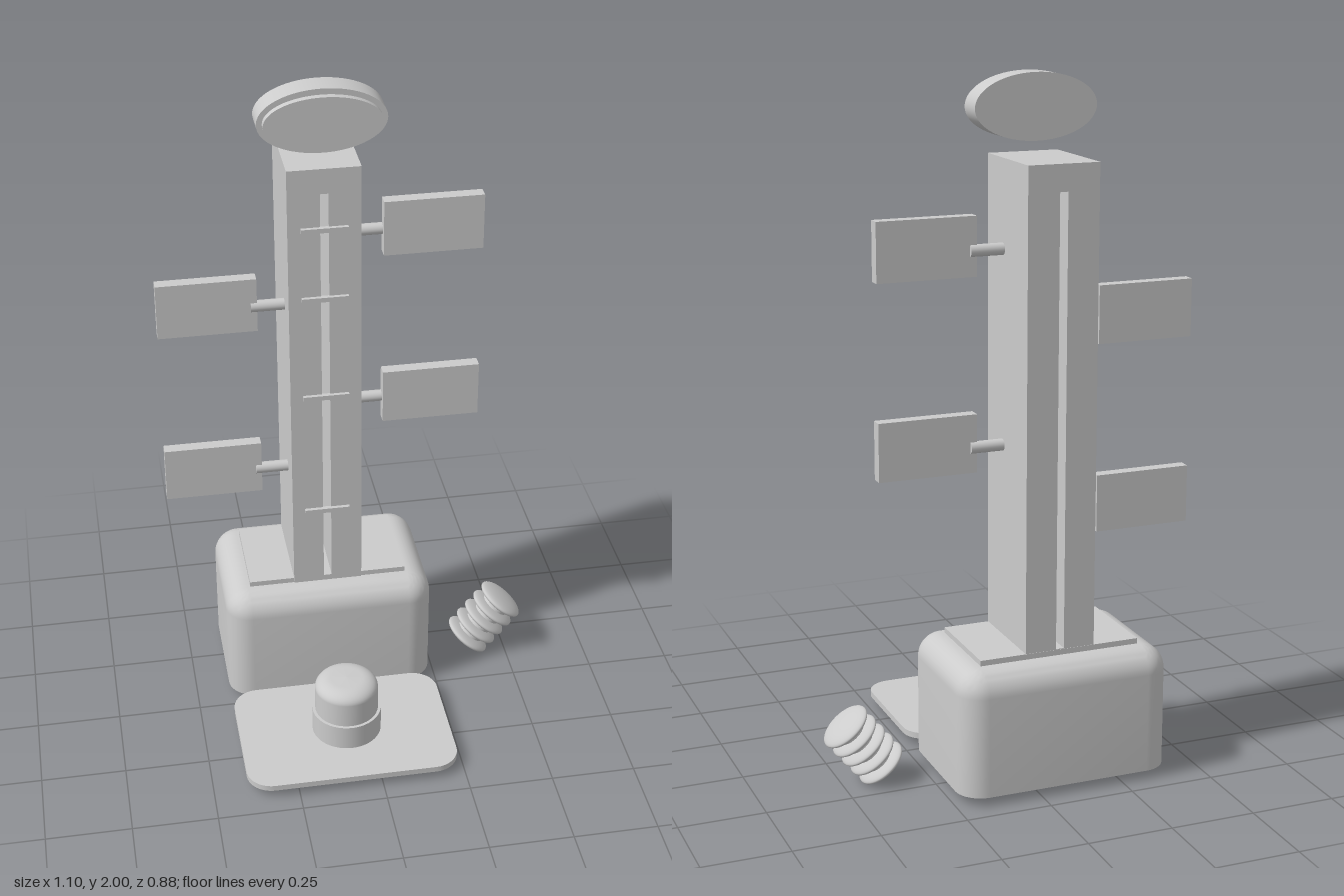
import * as THREE from 'three';
import { toCreasedNormals } from 'three/addons/utils/BufferGeometryUtils.js';

const material = new THREE.MeshStandardMaterial({ color: 0xcccccc });

function add(parent, name, geometry, x = 0, y = 0, z = 0) {
  const mesh = new THREE.Mesh(geometry, material);
  mesh.name = name;
  mesh.position.set(x, y, z);
  parent.add(mesh);
  return mesh;
}

// Box given by its limits on each axis
function box(parent, name, [x0, x1], [y0, y1], [z0, z1]) {
  return add(parent, name, new THREE.BoxGeometry(x1 - x0, y1 - y0, z1 - z0),
    (x0 + x1) / 2, (y0 + y1) / 2, (z0 + z1) / 2);
}

// Counter-clockwise outline of a rounded rectangle centred on the origin
function roundedOutline(w, d, r, steps = 10) {
  const points = [];
  [[1, 1], [-1, 1], [-1, -1], [1, -1]].forEach(([sx, sy], k) => {
    for (let i = 0; i <= steps; i++) {
      const a = (k + i / steps) * Math.PI / 2;
      points.push(new THREE.Vector2(
        sx * (w / 2 - r) + r * Math.cos(a), sy * (d / 2 - r) + r * Math.sin(a)));
    }
  });
  return points;
}

// Block with rounded upright edges and a rounded top edge, flat underneath
function roundedBlock(w, h, d, corner, round) {
  const sections = [[0, 0]];
  for (let i = 0; i <= 10; i++) {
    const a = i / 10 * Math.PI / 2;
    sections.push([round * (1 - Math.cos(a)), h - round + round * Math.sin(a)]);
  }
  const positions = [], index = [];
  let n = 0;
  for (const [inset, y] of sections) {
    const ring = roundedOutline(w - 2 * inset, d - 2 * inset, corner - inset);
    n = ring.length;
    for (const p of ring) positions.push(p.x, y, -p.y);
  }
  const last = sections.length - 1, bottom = n * sections.length, top = bottom + 1;
  positions.push(0, 0, 0, 0, h, 0);
  for (let i = 0; i < n; i++) {
    const k = (i + 1) % n;
    for (let j = 0; j < last; j++) {
      const a = j * n + i, b = j * n + k;
      index.push(a, b, b + n, a, b + n, a + n);
    }
    index.push(bottom, k, i, top, last * n + i, last * n + k);
  }
  const geometry = new THREE.BufferGeometry();
  geometry.setAttribute('position', new THREE.Float32BufferAttribute(positions, 3));
  geometry.setIndex(index);
  return toCreasedNormals(geometry, 0.6);
}

// Elliptical disc facing +z
function ellipseDisc(rx, ry, depth) {
  const geometry = new THREE.CylinderGeometry(1, 1, depth, 64);
  geometry.rotateX(Math.PI / 2);
  geometry.scale(rx, ry, 1);
  return geometry;
}

export function createModel() {
  const model = new THREE.Group();
  model.name = 'signTower';
  const cx = -0.082;

  // Base block with the front mat and the mounting plate
  add(model, 'base', roundedBlock(0.635, 0.362, 0.438, 0.076, 0.07), cx, 0.03, -0.222);
  const mat = new THREE.ExtrudeGeometry(new THREE.Shape(roundedOutline(0.635, 0.442, 0.076)),
    { depth: 0.018, bevelEnabled: false });
  mat.rotateX(-Math.PI / 2);
  add(model, 'frontMat', toCreasedNormals(mat, 0.6), cx, 0.03, 0.219);
  box(model, 'mountingPlate', [-0.322, 0.158], [0.385, 0.408], [-0.365, -0.08]);

  // Tower with a slot right through it
  const outline = new THREE.Shape();
  outline.moveTo(-0.104, 0.39).lineTo(0.104, 0.39).lineTo(0.104, 1.775)
    .lineTo(-0.104, 1.775).closePath();
  const slot = new THREE.Path();
  slot.moveTo(-0.012, 0.41).lineTo(-0.012, 1.7).lineTo(0.012, 1.7)
    .lineTo(0.012, 0.41).closePath();
  outline.holes.push(slot);
  add(model, 'tower', new THREE.ExtrudeGeometry(outline, { depth: 0.287, bevelEnabled: false }),
    cx, 0, -0.364);

  // Cross bars over the slot
  for (const y of [0.656, 1.053, 1.376, 1.593])
    box(model, 'crossBar', [cx - 0.067, cx + 0.067], [y - 0.007, y + 0.007], [-0.08, -0.066]);

  // Side signs, each on a short post
  const sides = [
    { sign: [0.1, 0.389], post: [0.0, 0.12], z: [-0.192, -0.155], postZ: -0.187,
      rows: [[1.538, 1.526], [0.983, 0.971]] },
    { sign: [-0.553, -0.265], post: [-0.283, -0.17], z: [-0.202, -0.166], postZ: -0.175,
      rows: [[1.322, 1.315], [0.769, 0.762]] },
  ];
  for (const { sign, post, z, postZ, rows } of sides) {
    for (const [signY, postY] of rows) {
      box(model, 'sideSign', sign, [signY - 0.084, signY + 0.084], z);
      const rod = new THREE.CylinderGeometry(0.017, 0.017, post[1] - post[0], 24);
      rod.rotateZ(Math.PI / 2);
      add(model, 'signPost', rod, (post[0] + post[1]) / 2, postY, postZ);
    }
  }

  // Oval sign above the tower
  add(model, 'topSign', ellipseDisc(0.18, 0.093, 0.077), cx, 1.907, -0.135);
  add(model, 'topSignFace', ellipseDisc(0.164, 0.075, 0.03), cx, 1.908, -0.092);

  // Push button: collar and cap with a rounded rim
  add(model, 'buttonCollar', new THREE.CylinderGeometry(0.104, 0.104, 0.08, 48), -0.073, 0.086, 0.21);
  const profile = [new THREE.Vector2(0.095, 0)];
  for (let i = 0; i <= 10; i++) {
    const a = i / 10 * Math.PI / 2;
    profile.push(new THREE.Vector2(0.045 + 0.05 * Math.cos(a), 0.08 + 0.034 * Math.sin(a)));
  }
  profile.push(new THREE.Vector2(0, 0.116));
  add(model, 'buttonCap', new THREE.LatheGeometry(profile, 48), -0.073, 0.122, 0.21);

  // Tilted stack of lens-shaped discs beside the base
  const bellows = new THREE.Group();
  bellows.name = 'bellows';
  bellows.position.set(0.436, 0.118, -0.157);
  bellows.rotation.z = -0.68;
  for (let i = -2; i <= 2; i++) {
    const disc = new THREE.SphereGeometry(0.076, 40, 20);
    disc.scale(1, 0.24, 1);
    add(bellows, 'bellowsDisc', disc, 0, i * 0.041, 0);
  }
  add(bellows, 'bellowsCore', new THREE.CylinderGeometry(0.045, 0.045, 0.164, 32));
  model.add(bellows);

  return model;
}
